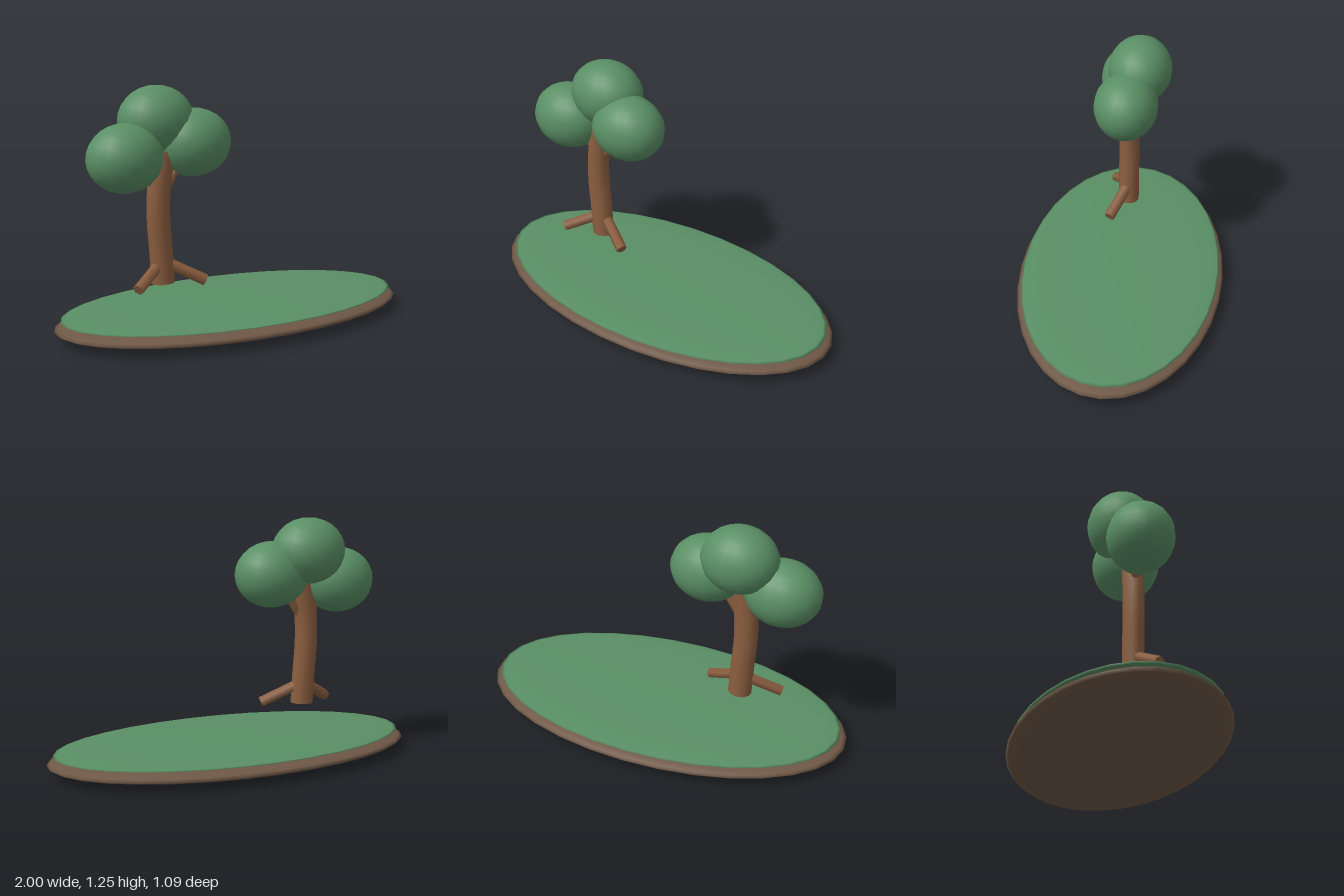
import * as THREE from 'three';

export function createModel() {
  const root = new THREE.Group();
  root.name = 'islandWithTree';

  const mat = (name, color) => {
    const m = new THREE.MeshStandardMaterial({ color });
    m.name = name;
    return m;
  };
  const leaf = mat('leafGreen', 0x5a8f65);
  const bark = mat('barkBrown', 0x8b5e3f);
  const soil = mat('soilBrown', 0x6f5846);

  const add = (name, geometry, material, parent = root) => {
    const mesh = new THREE.Mesh(geometry, material);
    mesh.name = name;
    parent.add(mesh);
    return mesh;
  };

  const ellipsoid = (name, material, pos, radii, w, h) => {
    const mesh = add(name, new THREE.SphereGeometry(1, w, h), material);
    mesh.position.set(...pos);
    mesh.scale.set(...radii);
  };

  // Straight limb between two points
  const limb = (name, from, to, radius, sides) => {
    const a = new THREE.Vector3(...from);
    const b = new THREE.Vector3(...to);
    const dir = b.clone().sub(a);
    const mesh = add(name, new THREE.CylinderGeometry(radius, radius, dir.length(), sides), bark);
    mesh.position.copy(a).add(b).multiplyScalar(0.5);
    mesh.quaternion.setFromUnitVectors(new THREE.Vector3(0, 1, 0), dir.normalize());
  };

  // Flattened ground with a thin grass layer on top
  ellipsoid('ground', soil, [0, 0.06, 0], [1, 0.058, 0.545], 32, 16);
  ellipsoid('grass', leaf, [0, 0.105, 0], [0.967, 0.018, 0.523], 32, 16);

  // Curved trunk, slightly wider across x, with a closed foot
  const trunk = new THREE.Group();
  trunk.name = 'trunk';
  trunk.position.x = -0.42;
  trunk.scale.x = 1.12;
  root.add(trunk);
  const path = new THREE.CatmullRomCurve3([
    [0, 0.26], [-0.009, 0.42], [-0.021, 0.6], [-0.017, 0.74], [0.01, 0.93],
  ].map(([x, y]) => new THREE.Vector3(x, y, 0)));
  add('trunkBark', new THREE.TubeGeometry(path, 16, 0.055, 10), bark, trunk);
  const foot = add('trunkFoot', new THREE.CircleGeometry(0.055, 10), bark, trunk);
  foot.rotation.x = Math.PI / 2;
  foot.position.y = 0.26;

  // Roots spread forward to both sides, branches rise into the crown
  limb('rootRight', [-0.45, 0.355, 0.008], [-0.615, 0.264, 0.088], 0.029, 6);
  limb('rootLeft', [-0.39, 0.355, 0.008], [-0.222, 0.264, 0.088], 0.029, 6);
  limb('branchRight', [-0.44, 0.73, 0], [-0.58, 0.9, 0], 0.026, 6);
  limb('branchLeft', [-0.41, 0.73, 0], [-0.28, 0.93, 0], 0.026, 6);

  // Crown of three overlapping leaf balls
  [
    ['crownRight', [-0.63, 0.91, 0]],
    ['crownTop', [-0.42, 1.08, -0.058]],
    ['crownLeft', [-0.235, 0.96, 0]],
  ].forEach(([name, pos]) => ellipsoid(name, leaf, pos, [0.2, 0.173, 0.168], 18, 14));

  return root;
}
